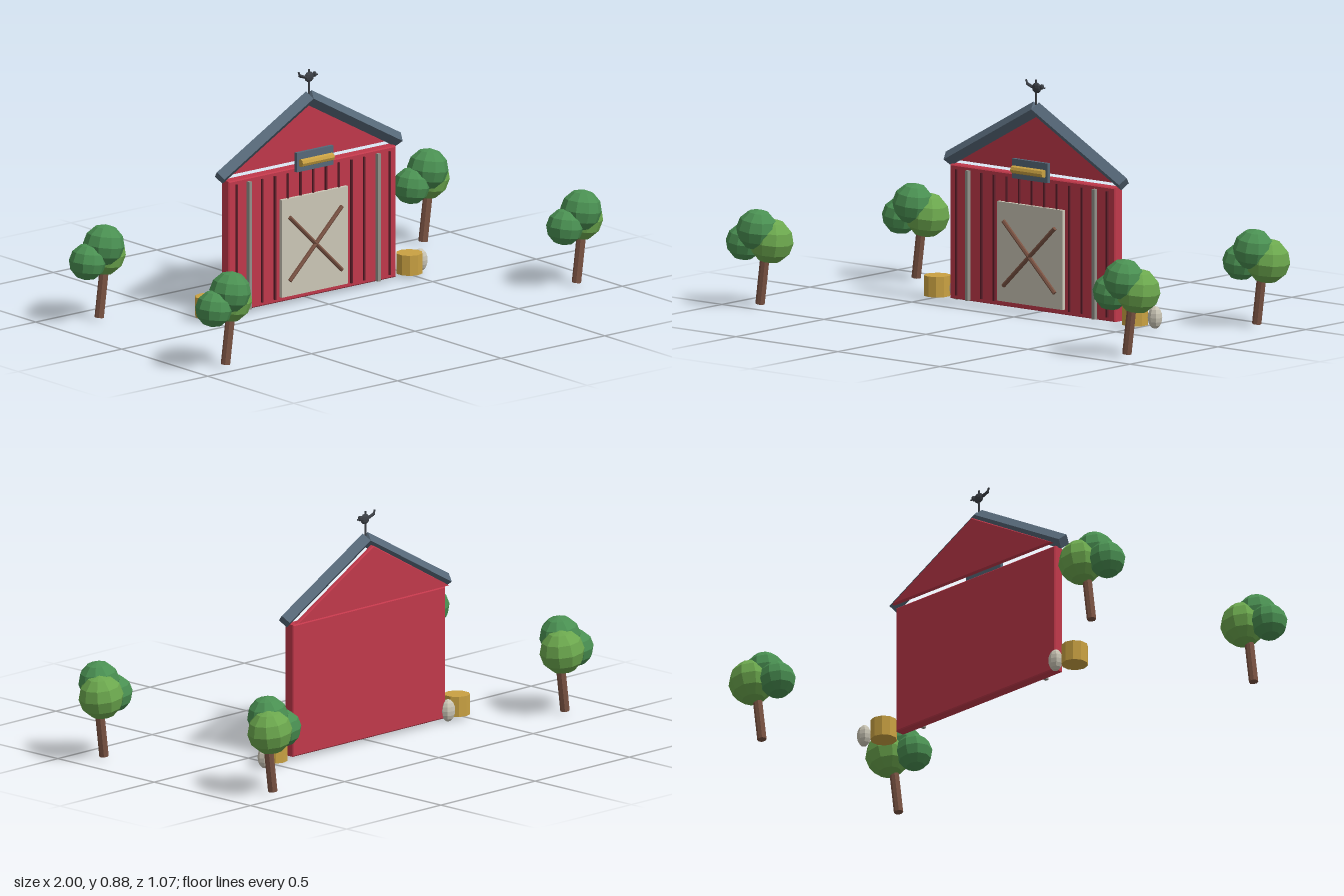
import * as THREE from 'three';

const mat = (name, color) => {
  const m = new THREE.MeshStandardMaterial({ color });
  m.name = name;
  m.flatShading = true;
  return m;
};

export function createModel() {
  const red = mat('barnRed', 0xc0384a);
  const darkRed = mat('darkRed', 0x5f1f2a);
  const slate = mat('slate', 0x566878);
  const iron = mat('iron', 0x3c4046);
  const cream = mat('cream', 0xcbc6b6);
  const grey = mat('grey', 0x92918a);
  const gold = mat('straw', 0xc9a142);
  const brown = mat('bark', 0x7a5343);
  const green = mat('leafGreen', 0x4a9052);
  const lightGreen = mat('lightLeaf', 0x6ca84e);

  const model = new THREE.Group();
  const barn = new THREE.Group();
  barn.name = 'barnFront';
  barn.position.set(0.004, 0, -0.122);
  model.add(barn);

  const add = (parent, name, geo, material, x = 0, y = 0, z = 0) => {
    const m = new THREE.Mesh(geo, material);
    m.name = name;
    m.position.set(x, y, z);
    parent.add(m);
    return m;
  };
  // Cylinder between two points
  const rod = (parent, name, a, b, r, sides, material) => {
    const p = new THREE.Vector3(...a), q = new THREE.Vector3(...b);
    const d = q.clone().sub(p);
    const m = add(parent, name, new THREE.CylinderGeometry(r, r, d.length(), sides), material);
    m.position.copy(p).add(q).multiplyScalar(0.5);
    m.quaternion.setFromUnitVectors(new THREE.Vector3(0, 1, 0), d.normalize());
    return m;
  };
  // Slab with small bevels, front and back at z0 + depth and z0
  const slab = (name, pts, z0, depth, bevel) => {
    const shape = new THREE.Shape(pts.map(p => new THREE.Vector2(...p)));
    const geo = new THREE.ExtrudeGeometry(shape, {
      depth: depth - 2 * bevel, bevelEnabled: true, bevelSegments: 1,
      bevelSize: bevel, bevelThickness: bevel, bevelOffset: -bevel,
    });
    return add(barn, name, geo, red, 0, 0, z0 + bevel);
  };

  // Wall and gable
  slab('wall', [[-0.404, 0.015], [0.404, 0.015], [0.404, 0.52], [-0.404, 0.52]], -0.022, 0.044, 0.004);
  slab('gable', [[-0.404, 0.528], [0.404, 0.528], [0, 0.755]], -0.044, 0.019, 0.004);

  // Battens on the wall
  for (let i = -6; i <= 6; i++) {
    if (Math.abs(i) === 5) continue;
    const behindDoor = Math.abs(i) <= 2;
    const y0 = behindDoor ? 0.41 : 0.03;
    add(barn, 'batten', new THREE.BoxGeometry(0.007, 0.505 - y0, 0.008), darkRed,
      i * 0.0615, (0.505 + y0) / 2, 0.025);
  }
  for (const s of [-1, 1]) {
    add(barn, 'greyPost', new THREE.BoxGeometry(0.014, 0.49, 0.016), grey, s * 0.311, 0.262, 0.029);
  }

  // Door with crossed braces
  add(barn, 'door', new THREE.BoxGeometry(0.32, 0.375, 0.016), cream, 0, 0.2225, 0.028);
  for (const s of [-1, 1]) {
    rod(barn, 'doorBrace', [-0.126 * s, 0.095, 0.041], [0.126 * s, 0.34, 0.041], 0.008, 6, brown);
  }

  // Hayloft hatch with a roll of straw
  add(barn, 'hatch', new THREE.BoxGeometry(0.175, 0.074, 0.014), slate, 0, 0.542, 0.03);
  rod(barn, 'strawRoll', [-0.077, 0.54, 0.044], [0.077, 0.54, 0.044], 0.015, 8, gold);

  // Diamond-section roof beams
  for (const s of [-1, 1]) {
    const beam = rod(barn, 'roofBeam', [0, 0.772, 0], [s * 0.43, 0.535, 0], 0.028, 4, slate);
    beam.rotation.set(0, 0, s * Math.atan2(0.237, 0.43) + Math.PI / 2 - (s > 0 ? 2 * Math.atan2(0.237, 0.43) : -2 * Math.atan2(0.237, 0.43)));
  }

  // Weathervane
  const vane = new THREE.Group();
  vane.name = 'weathervane';
  barn.add(vane);
  rod(vane, 'vanePole', [0, 0.785, 0], [0, 0.86, 0], 0.004, 6, iron);
  const body = add(vane, 'vaneBird', new THREE.SphereGeometry(1, 8, 6), iron, 0.002, 0.85, 0);
  body.scale.set(0.023, 0.02, 0.01);
  const head = add(vane, 'vaneHead', new THREE.SphereGeometry(0.009, 6, 5), iron, 0.028, 0.856, 0);
  head.scale.y = 1.2;
  rod(vane, 'vaneBeak', [0.03, 0.855, 0], [0.043, 0.853, 0], 0.003, 5, iron);
  rod(vane, 'vaneTail', [-0.014, 0.85, 0], [-0.046, 0.862, 0], 0.006, 5, iron);
  rod(vane, 'vaneTailFeather', [-0.04, 0.855, 0], [-0.05, 0.876, 0], 0.004, 5, iron);
  rod(vane, 'vaneComb', [0, 0.86, 0], [0, 0.88, 0], 0.004, 5, iron);

  // Straw bales and pale stones beside the barn
  for (const s of [-1, 1]) {
    add(barn, 'strawBale', new THREE.CylinderGeometry(0.05, 0.05, 0.077, 10), gold, s * 0.485, 0.052, 0);
    const stone = add(barn, 'stone', new THREE.SphereGeometry(1, 8, 8), cream,
      s < 0 ? -0.412 : 0.56, 0.045, -0.026);
    stone.scale.set(0.029, 0.043, 0.025);
  }

  // Leaning trees: crown balls as [x, y, z, radius]
  const crowns = [
    [-0.066, 0.24, 0.012, 0.07, green],
    [0.004, 0.295, 0.022, 0.078, green],
    [0.036, 0.25, -0.02, 0.085, lightGreen],
  ];
  for (const [x, z] of [[-0.865, 0.44], [0.88, 0.378], [-0.8, -0.372], [0.815, -0.435]]) {
    const tree = new THREE.Group();
    tree.name = 'tree';
    tree.position.set(x, 0, z);
    rod(tree, 'trunk', [0, 0.012, 0], [0.032, 0.25, 0], 0.0175, 8, brown);
    for (const [cx, cy, cz, r, m] of crowns) {
      const ball = add(tree, 'crown', new THREE.SphereGeometry(r, 10, 6), m, cx, cy, cz);
      ball.rotation.z = -0.137;
    }
    model.add(tree);
  }
  return model;
}
